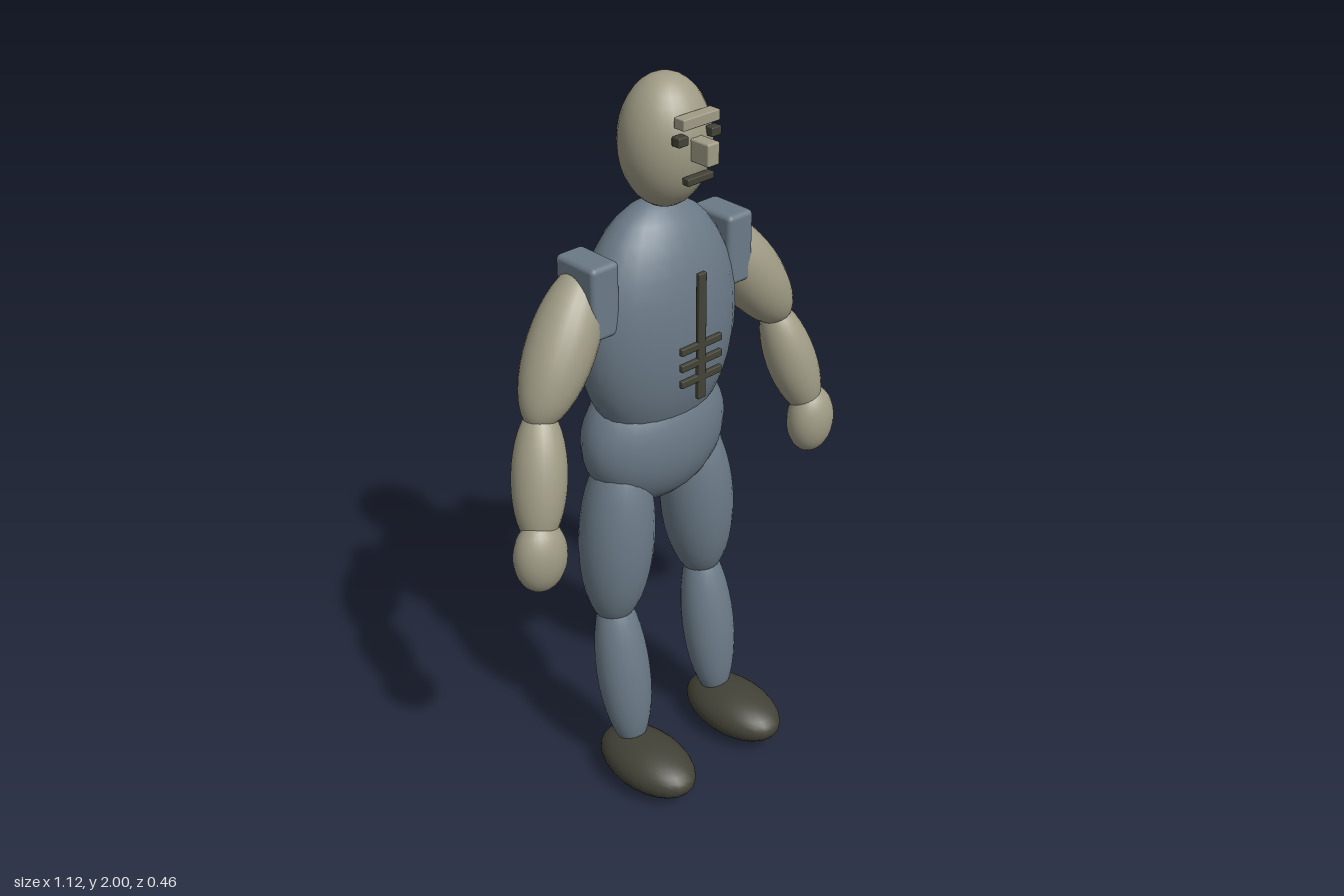
import * as THREE from 'three';
import { RoundedBoxGeometry } from 'three/addons/geometries/RoundedBoxGeometry.js';

export function createModel() {
  const model = new THREE.Group();
  model.name = 'figure';

  const mat = (name, color) => {
    const m = new THREE.MeshStandardMaterial({ color });
    m.name = name;
    return m;
  };
  const skin = mat('skin', 0x9f9b85);
  const suit = mat('suit blue', 0x6b7a87);
  const dark = mat('dark trim', 0x434237);

  const sphere = new THREE.SphereGeometry(1, 24, 18);
  const up = new THREE.Vector3(0, 1, 0);

  // Ellipsoid whose long (y) axis can be tilted along dir
  function ellipsoid(name, material, pos, radii, dir) {
    const mesh = new THREE.Mesh(sphere, material);
    mesh.name = name;
    mesh.position.set(...pos);
    mesh.scale.set(...radii);
    if (dir) mesh.quaternion.setFromUnitVectors(up, new THREE.Vector3(...dir).normalize());
    model.add(mesh);
  }

  // Box with softened edges
  function box(name, material, pos, size, radius = 0.003) {
    const mesh = new THREE.Mesh(new RoundedBoxGeometry(...size, 2, radius), material);
    mesh.name = name;
    mesh.position.set(...pos);
    model.add(mesh);
  }

  // Trunk and head
  ellipsoid('head', skin, [0, 1.836, -0.041], [0.117, 0.164, 0.112]);
  ellipsoid('torso', suit, [0, 1.35, -0.073], [0.24, 0.335, 0.145]);
  ellipsoid('pelvis', suit, [0, 1.03, -0.09], [0.224, 0.2, 0.14]);

  // Face
  box('brow', skin, [0, 1.915, 0.068], [0.116, 0.027, 0.034]);
  box('nose', skin, [0, 1.843, 0.093], [0.038, 0.056, 0.064], 0.005);
  box('mouth', dark, [0, 1.772, 0.073], [0.084, 0.018, 0.022]);

  // Chest fastening: one upright bar and three crossbars
  box('chestBar', dark, [0, 1.362, 0.087], [0.026, 0.345, 0.013]);
  for (const y of [1.34, 1.295, 1.25]) {
    box('chestCrossbar', dark, [0, y, 0.087], [0.138, 0.02, 0.013]);
  }

  // Paired parts, left (+x) and right (-x)
  for (const [side, s] of [['left', 1], ['right', -1]]) {
    box(side + 'Eye', dark, [s * 0.053, 1.874, 0.067], [0.031, 0.023, 0.026]);
    box(side + 'ShoulderPad', suit, [s * 0.226, 1.497, -0.07], [0.086, 0.192, 0.14], 0.014);

    ellipsoid(side + 'UpperArm', skin, [s * 0.317, 1.39, -0.067], [0.088, 0.21, 0.086], [-s * 0.56, 0.83, -0.13]);
    ellipsoid(side + 'Forearm', skin, [s * 0.444, 1.1, -0.015], [0.07, 0.178, 0.07], [-s * 0.25, 0.95, -0.22]);
    ellipsoid(side + 'Hand', skin, [s * 0.487, 0.91, 0.029], [0.073, 0.1, 0.06]);

    ellipsoid(side + 'Thigh', suit, [s * 0.147, 0.76, -0.077], [0.102, 0.275, 0.104], [-s * 0.08, 1, 0]);
    ellipsoid(side + 'Shin', suit, [s * 0.164, 0.335, -0.043], [0.076, 0.255, 0.074], [0, 1, -0.15]);
    ellipsoid(side + 'Foot', dark, [s * 0.17, 0.069, 0.061], [0.1, 0.069, 0.167]);
  }

  return model;
}
